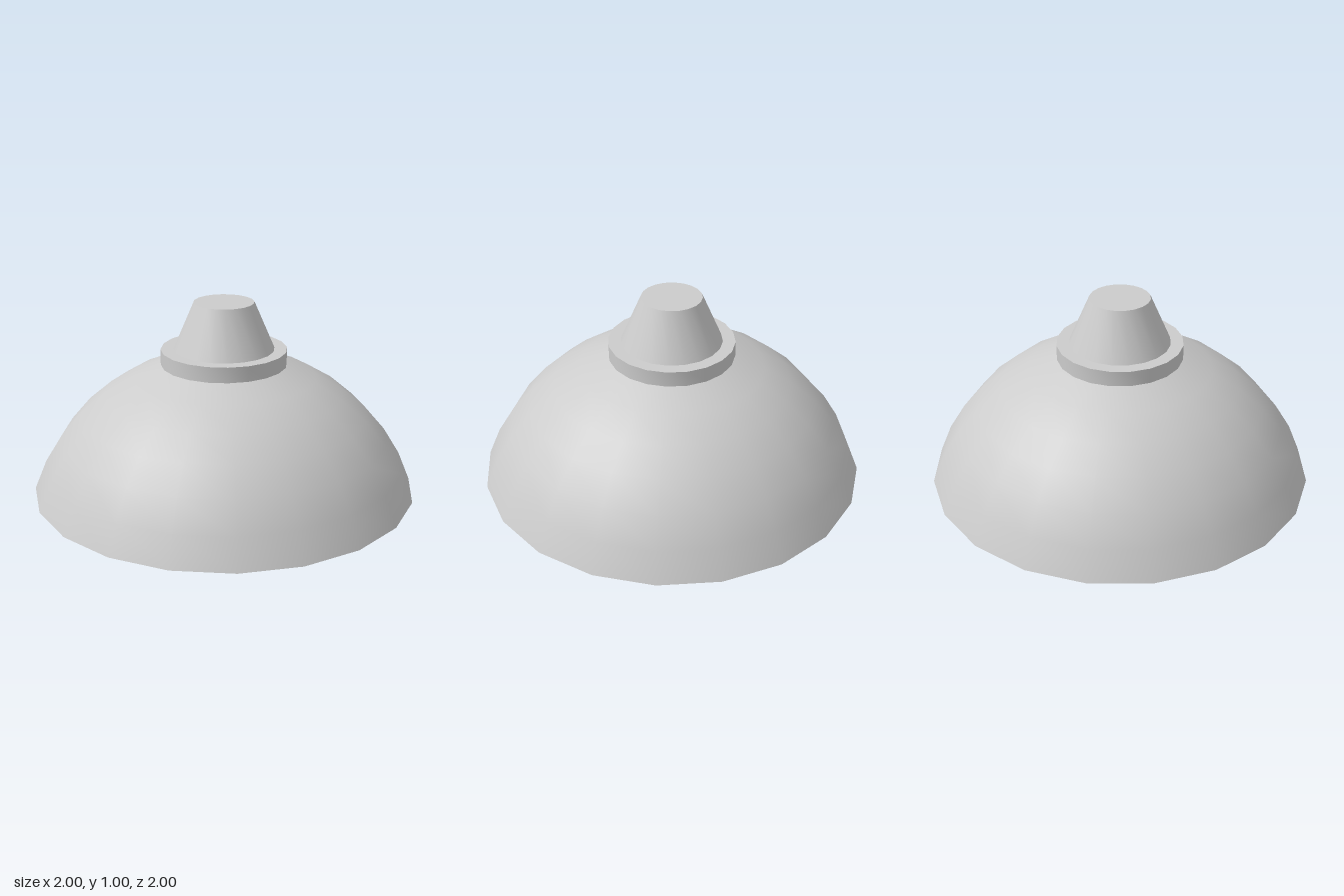
import * as THREE from 'three';
import { toCreasedNormals } from 'three/addons/utils/BufferGeometryUtils.js';

const SIDES = 20;
const material = new THREE.MeshStandardMaterial({ color: 0xcccccc });

// Revolves a profile of [radius, height] pairs, keeping strong edges sharp.
function turned(name, profile) {
  const points = profile.map(([r, y]) => new THREE.Vector2(r, y));
  const geometry = toCreasedNormals(new THREE.LatheGeometry(points, SIDES), 0.6);
  const mesh = new THREE.Mesh(geometry, material);
  mesh.name = name;
  return mesh;
}

export function createModel() {
  const group = new THREE.Group();
  group.name = 'domeLampShade';

  // Shade: a spherical zone from 18 to 72 degrees, in 9 degree steps
  const radius = 1 / Math.cos(Math.PI / 10);
  const drop = radius * Math.sin(Math.PI / 10);
  const outer = [];
  for (let i = 0; i <= 6; i++) {
    const a = THREE.MathUtils.degToRad(18 + 9 * i);
    outer.push([radius * Math.cos(a), radius * Math.sin(a) - drop]);
  }
  // Inner wall runs back down to a flat rim, open at the top
  const inner = outer.map(([r, y]) => [r * 0.9, y * 0.965]).reverse();
  group.add(turned('shade', [...outer, ...inner, outer[0]]));

  // Collar closing the top of the shade
  group.add(turned('collar', [[0, 0.68], [0.325, 0.675], [0.325, 0.755], [0, 0.755]]));

  // Tapered socket cap
  group.add(turned('socketCap', [[0.26, 0.755], [0.155, 1], [0, 1]]));

  return group;
}
